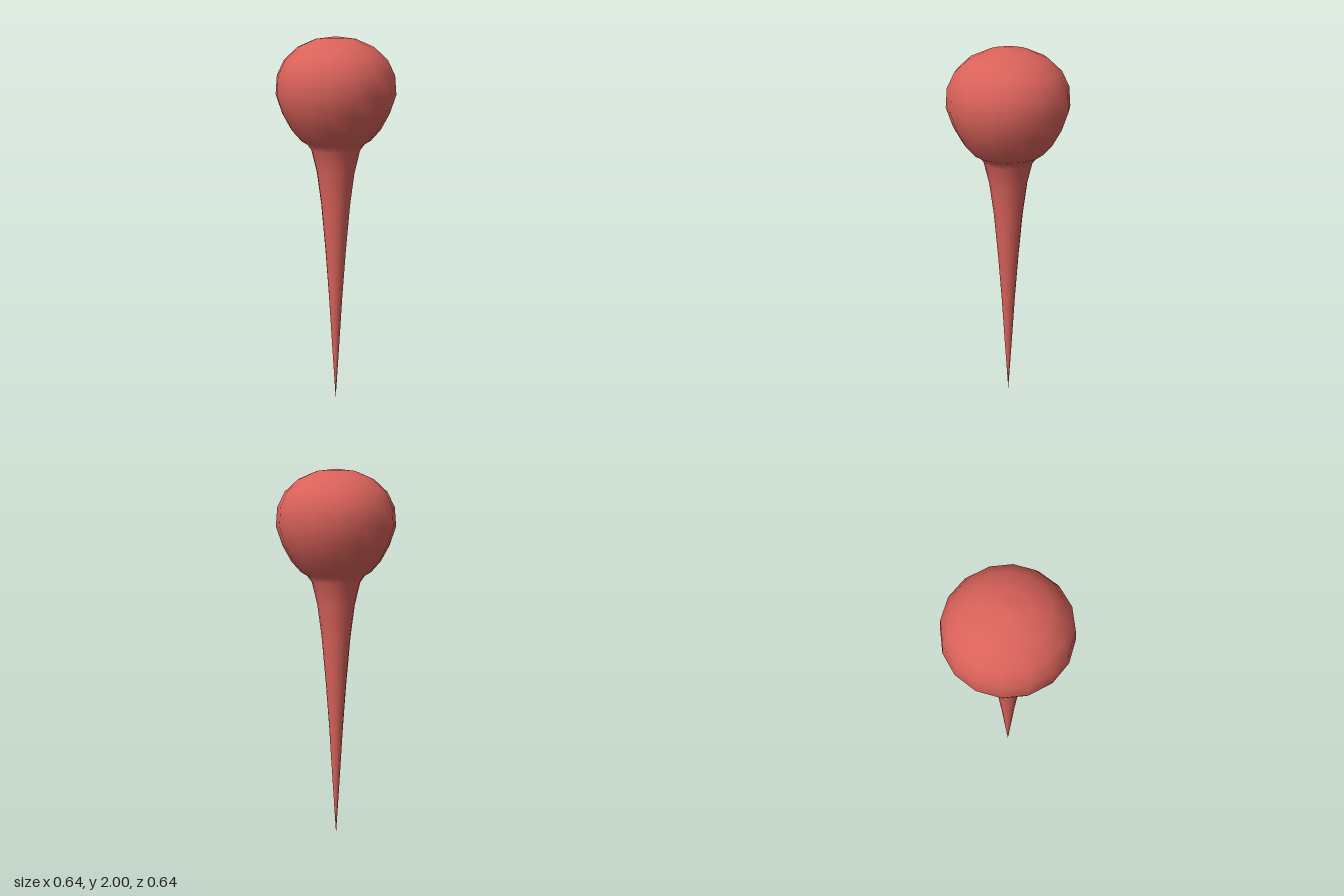
import * as THREE from 'three';

const SIDES = 16;

export function createModel() {
  const model = new THREE.Group();
  model.name = 'roundHeadedPin';

  const red = new THREE.MeshStandardMaterial({ color: 0xd9625a });
  red.name = 'coral red';

  // One smooth profile from the needle tip, up the flared shaft, around the ball head
  const profile = [
    [0, 0], [0.019, 0.3], [0.037, 0.6], [0.056, 0.86], [0.078, 1.11],
    [0.101, 1.285], [0.13, 1.405], [0.155, 1.44], [0.187, 1.458],
    [0.238, 1.515], [0.285, 1.6], [0.319, 1.7], [0.311, 1.8],
    [0.272, 1.88], [0.2, 1.946], [0.105, 1.987], [0, 2],
  ].map(([r, y]) => new THREE.Vector2(r, y));

  const pin = new THREE.Mesh(new THREE.LatheGeometry(profile, SIDES), red);
  pin.name = 'pinHeadAndShaft';
  model.add(pin);

  return model;
}
